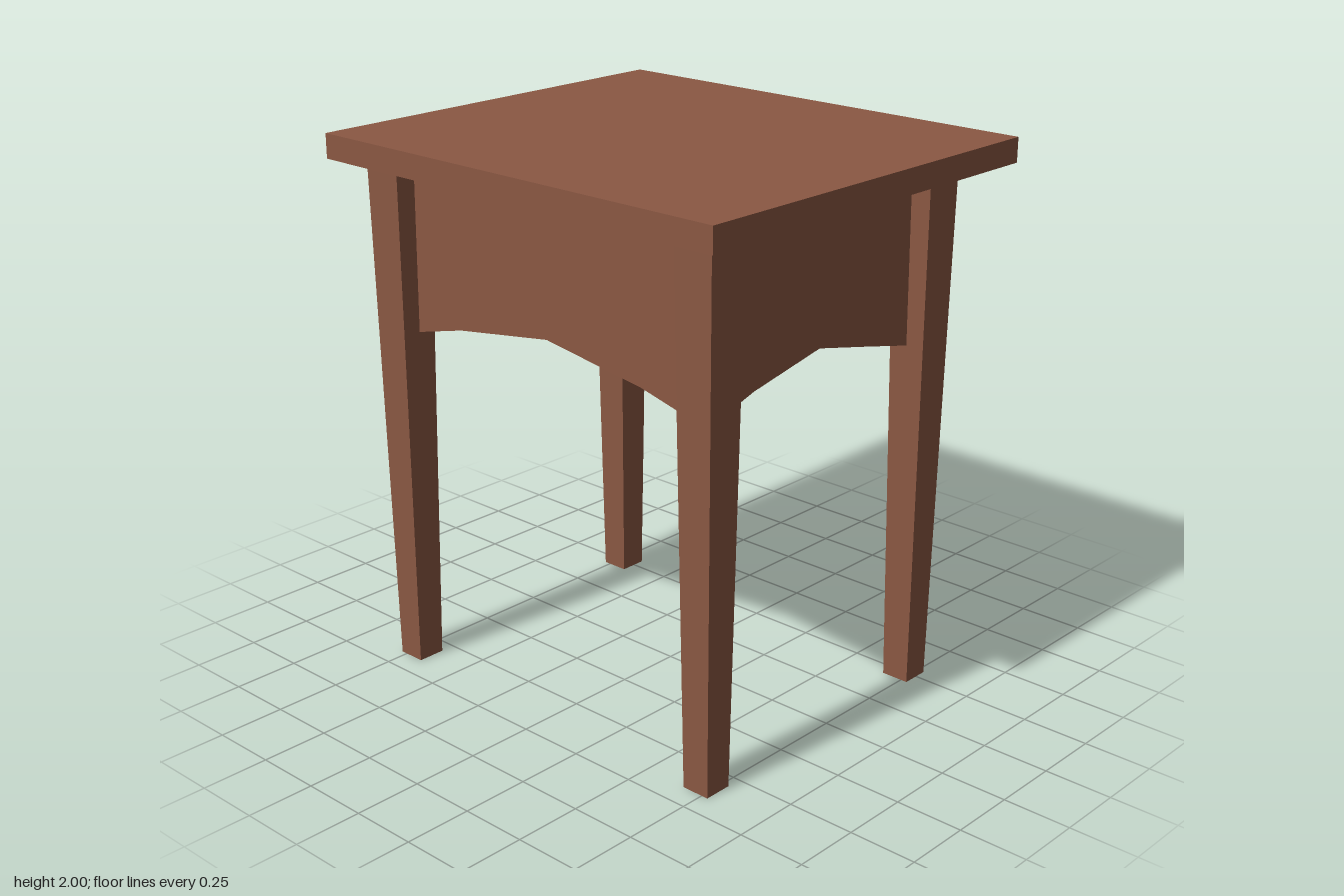
import * as THREE from 'three';

const wood = new THREE.MeshStandardMaterial({ color: 0x8b5843, flatShading: true, side: THREE.DoubleSide });
const brass = new THREE.MeshStandardMaterial({ color: 0xb86c40, flatShading: true, side: THREE.DoubleSide });

// Leg centre lines; the apron sheets run between them
const X0 = -0.607, X1 = 0.493, Z = 0.722;
const MID = (X0 + X1) / 2;
const TOP = 1.91, ARCH = 1.408;

function add(parent, name, geometry, material = wood) {
  const mesh = new THREE.Mesh(geometry, material);
  mesh.name = name;
  parent.add(mesh);
  return mesh;
}

// Upright sheet with an arched lower edge, given as [across, y] points
function apronGeometry(arch) {
  const first = arch[0][0], last = arch[arch.length - 1][0];
  const points = [...arch, [last, TOP], [first, TOP]];
  return new THREE.ShapeGeometry(new THREE.Shape(points.map(p => new THREE.Vector2(...p))));
}

export function createModel() {
  const table = new THREE.Group();
  table.name = 'sideTable';

  // Table top
  add(table, 'tableTop', new THREE.BoxGeometry(1.57, 0.09, 1.785)).position.y = 1.955;

  // Four tapered square legs, open at the foot
  const legGeometry = new THREE.CylinderGeometry(0.078 * Math.SQRT2, 0.053 * Math.SQRT2, TOP, 4, 1, true);
  legGeometry.rotateY(Math.PI / 4);
  for (const x of [X0, X1]) {
    for (const z of [-Z, Z]) add(table, 'leg', legGeometry).position.set(x, TOP / 2, z);
  }

  // Arched aprons
  const longArch = apronGeometry([[X0, 1.28], [-0.54, 1.3], [-0.39, 1.345], [-0.06, ARCH], [0.2, 1.35], [X1, 1.283]]);
  const sideArch = apronGeometry([[-Z, 1.273], [-0.43, 1.345], [0, ARCH], [0.43, 1.345], [Z, 1.273]]);
  sideArch.rotateY(Math.PI / 2);
  for (const z of [-Z, Z]) add(table, 'apron', longArch).position.z = z;
  for (const x of [X0, X1]) add(table, 'sideApron', sideArch).position.x = x;

  // Bottom panel of the case, level with the tops of the arches
  const panel = new THREE.PlaneGeometry(X1 - X0, 2 * Z).rotateX(Math.PI / 2);
  add(table, 'casePanel', panel).position.set(MID, ARCH, 0);

  // Drawer front with a chamfered rim
  const drawer = new THREE.Group();
  drawer.name = 'drawer';
  drawer.position.y = 1.675;
  table.add(drawer);
  add(drawer, 'drawerBody', new THREE.BoxGeometry(0.095, 0.41, 0.91)).position.x = 0.5375;
  const face = new THREE.BoxGeometry(0.055, 0.41, 0.91);
  const p = face.attributes.position;
  for (let i = 0; i < p.count; i++) {
    if (p.getX(i) > 0) {
      p.setY(i, p.getY(i) - Math.sign(p.getY(i)) * 0.011);
      p.setZ(i, p.getZ(i) - Math.sign(p.getZ(i)) * 0.018);
    }
  }
  add(drawer, 'drawerFace', face).position.x = 0.6125;

  // Six-sided knob, turned around the x axis
  const profile = [[0.028, 0], [0.026, 0.03], [0.045, 0.038], [0.056, 0.058], [0.047, 0.083], [0.025, 0.095], [0, 0.097]];
  const knob = new THREE.LatheGeometry(profile.map(q => new THREE.Vector2(...q)), 6);
  knob.rotateZ(-Math.PI / 2);
  add(drawer, 'knob', knob, brass).position.set(0.638, 0.013, 0);

  return table;
}
